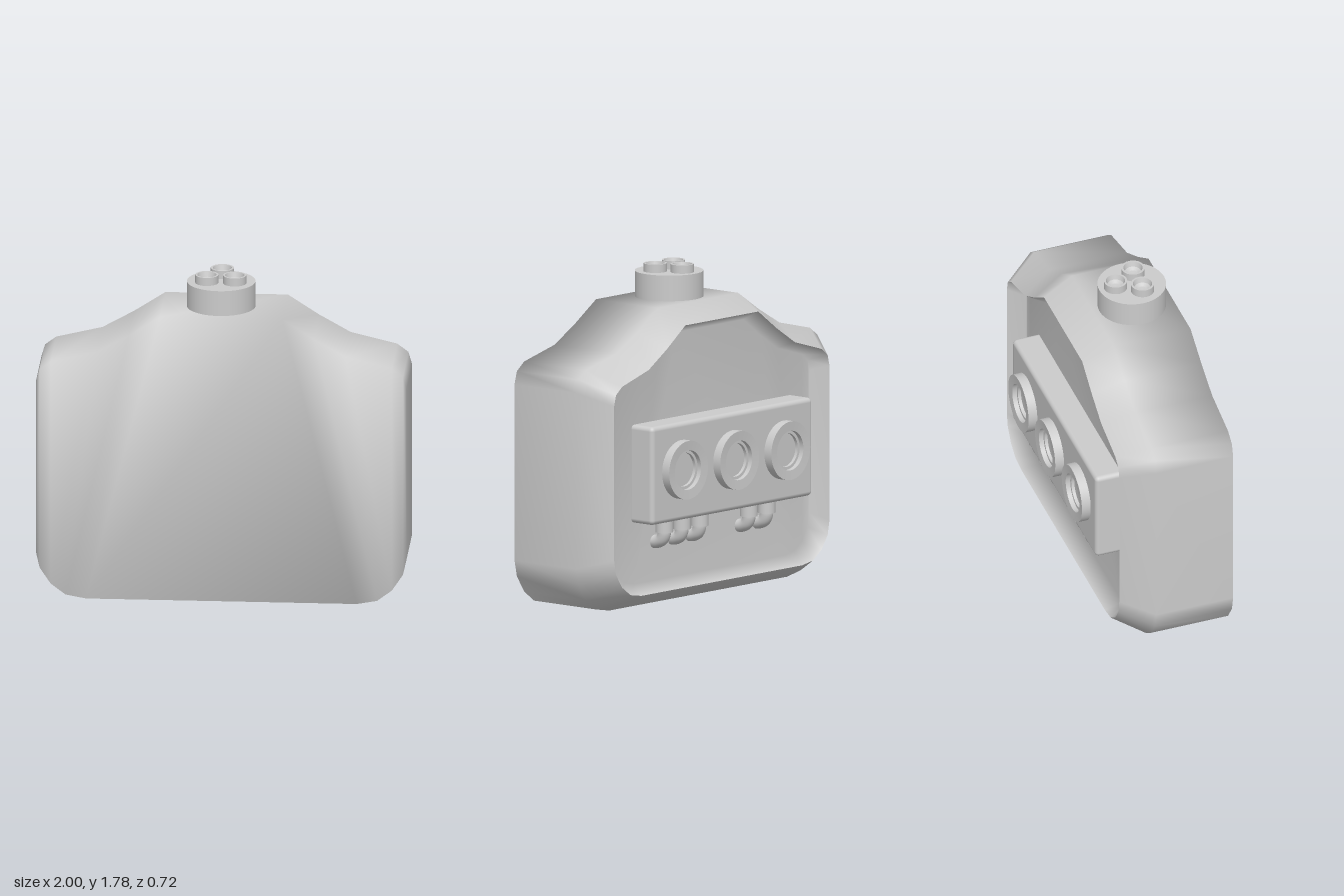
import * as THREE from 'three';
import { RoundedBoxGeometry } from 'three/addons/geometries/RoundedBoxGeometry.js';

const material = new THREE.MeshStandardMaterial({ color: 0xcccccc });
const doubleSided = new THREE.MeshStandardMaterial({ color: 0xcccccc, side: THREE.DoubleSide });

function add(parent, name, geometry, x = 0, y = 0, z = 0, mat = material) {
  const mesh = new THREE.Mesh(geometry, mat);
  mesh.name = name;
  mesh.position.set(x, y, z);
  parent.add(mesh);
  return mesh;
}

// Half outlines run from the bottom, round the side, to the top
const OUTER = [[0.73, 0], [0.84, 0.02], [0.92, 0.08], [0.98, 0.17], [1, 0.26], [1, 1.22],
  [0.98, 1.29], [0.92, 1.335], [0.67, 1.395], [0.5, 1.49], [0.33, 1.6]];
const INNER = [[0.66, 0.09], [0.75, 0.105], [0.82, 0.155], [0.87, 0.23], [0.885, 0.31], [0.885, 1.15],
  [0.87, 1.21], [0.82, 1.25], [0.6, 1.315], [0.45, 1.41], [0.3, 1.52]];
const FLOOR = INNER.map(([x, y]) => [x * 0.93, 0.8 + (y - 0.8) * 0.93]);

// Skins a stack of mirrored outlines; a cap closes the first or last loop facing +z or -z
function skin(loops, cap) {
  const positions = [], index = [];
  const n = loops[0].half.length, count = n * 2;
  for (const { half, z } of loops) {
    for (const [x, y] of half) positions.push(x, y, z);
    for (const [x, y] of [...half].reverse()) positions.push(-x, y, z);
  }
  for (let l = 0; l < loops.length - 1; l++) {
    for (let i = 0; i < count; i++) {
      const a = l * count + i, b = l * count + (i + 1) % count;
      index.push(a, a + count, b, b, a + count, b + count);
    }
  }
  // Cap made of upright strips joining bottom points to top points
  const base = cap === 'front' ? 0 : (loops.length - 1) * count;
  const last = count - 1;
  const quad = (a, b, c, d) => {
    const q = [a, b, c, a, c, d].map((i) => i + base);
    index.push(...(cap === 'front' ? q : q.reverse()));
  };
  quad(last, 0, n - 1, n);
  for (let k = 0; k < (n - 1) / 2; k++) {
    quad(k, k + 1, n - 2 - k, n - 1 - k);
    quad(last - k, last - (n - 1 - k), last - (n - 2 - k), last - (k + 1));
  }
  const geometry = new THREE.BufferGeometry();
  geometry.setAttribute('position', new THREE.Float32BufferAttribute(positions, 3));
  geometry.setIndex(index);
  geometry.computeVertexNormals();
  return geometry;
}

// Lathe with hard edges: each profile segment gets its own ring of points
function turned(profile, segments = 32) {
  const group = new THREE.Group();
  for (let i = 0; i < profile.length - 1; i++) {
    const pts = [profile[i], profile[i + 1]].map(([r, y]) => new THREE.Vector2(r, y));
    add(group, 'surface', new THREE.LatheGeometry(pts, segments), 0, 0, 0, doubleSided);
  }
  return group;
}

export function createModel() {
  const model = new THREE.Group();
  model.name = 'tankPack';

  // Body shell with bevelled back edge, and the recess in its back
  add(model, 'bodyShell', skin([{ half: OUTER, z: 0.36 }, { half: OUTER, z: -0.08 },
    { half: INNER, z: -0.25 }], 'front'));
  const recess = skin([{ half: INNER, z: -0.25 }, { half: FLOOR, z: -0.16 }], 'back');
  // The recess floor faces backwards
  add(model, 'backRecess', recess, 0, 0, 0, doubleSided);

  // Round neck with three open nozzles
  add(model, 'neck', new THREE.CylinderGeometry(0.185, 0.185, 0.16, 40), -0.015, 1.66, 0.138);
  for (const [x, z] of [[-0.015, 0.045], [-0.09, 0.172], [0.06, 0.172]]) {
    const nozzle = turned([[0.063, 0], [0.063, 0.045], [0.052, 0.045], [0.044, 0.018], [0.025, 0.006], [0, 0.003]], 24);
    nozzle.name = 'nozzle';
    nozzle.position.set(x, 1.74, z);
    model.add(nozzle);
  }

  // Instrument panel with three dials
  add(model, 'panel', new RoundedBoxGeometry(1.32, 0.535, 0.17, 3, 0.025), -0.02, 0.7425, -0.225);
  for (const x of [-0.44, -0.02, 0.4]) {
    const dial = turned([[0.16, 0], [0.16, 0.052], [0.108, 0.048], [0.108, 0.022],
      [0.092, 0.022], [0.092, 0.004], [0, 0.004]], 40);
    dial.name = 'dial';
    dial.position.set(x, 0.755, -0.308);
    dial.rotation.x = -Math.PI / 2;
    model.add(dial);
  }

  // Collared elbow pipes running from the panel into the recess
  const bend = new THREE.CatmullRomCurve3([[0.43, -0.23], [0.4, -0.23], [0.37, -0.215],
    [0.355, -0.185], [0.35, -0.14]].map(([y, z]) => new THREE.Vector3(0, y, z)));
  const elbow = new THREE.TubeGeometry(bend, 14, 0.036, 16);
  const collar = new THREE.CylinderGeometry(0.048, 0.048, 0.08, 20);
  for (const x of [0.45, 0.305, 0.16, -0.245, -0.39]) {
    const pipe = new THREE.Group();
    pipe.name = 'pipe';
    pipe.position.x = x;
    add(pipe, 'collar', collar, 0, 0.45, -0.23);
    add(pipe, 'elbow', elbow);
    model.add(pipe);
  }
  return model;
}
